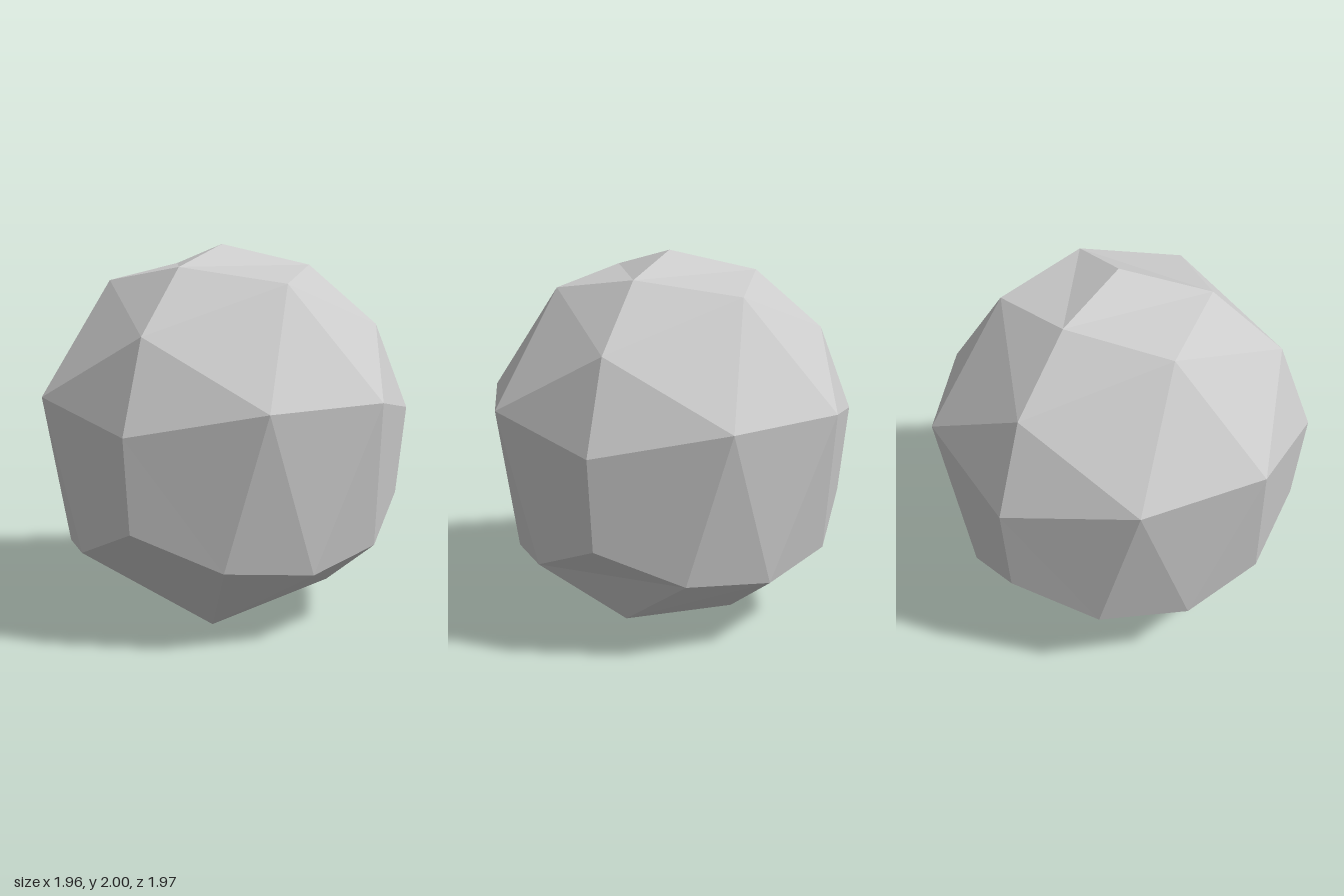
import * as THREE from 'three';

// Faceted ball laid out on tetrahedral symmetry, with its main axis vertical.
// Corner 0 is the top; corners 1, 2, 3 lie around the axis, 120 degrees apart.
const CENTRE = new THREE.Vector3(-0.04, 0.98, 0);

function polar(radius, y, degrees) {
  const a = THREE.MathUtils.degToRad(degrees);
  return new THREE.Vector3(CENTRE.x + radius * Math.cos(a), y, radius * Math.sin(a));
}

const angleOf = (i) => (i - 1) * 120;
const turn = (i, j) => ((j - i + 3) % 3 === 1 ? 1 : -1); // way round from corner i to j

// Main corners
const corner = (i) => (i === 0 ? polar(0, 2, 0) : polar(0.97, 0.63, angleOf(i)));

// Point beside corner i on the way to corner j
function near(i, j) {
  if (i === 0) return polar(0.47, 1.89, angleOf(j));
  if (j === 0) return polar(1.02, 1.11, angleOf(i));
  return polar(0.88, 0.44, angleOf(i) + turn(i, j) * 27.7);
}

// Point halfway between corners i and j
function middle(i, j) {
  if (i === 0) return polar(0.84, 1.57, angleOf(j));
  return polar(0.84, 0.38, angleOf(i) + turn(i, j) * 60);
}

// Point beside corner i, on the side facing away from corner j
function away(i, j) {
  if (i === 0) return polar(0.6, 1.81, angleOf(j) + 180);
  if (j !== 0) return polar(1.0, 1.23, angleOf(i) - turn(i, j) * 40);
  // the underside is slightly uneven
  return i === 1 ? new THREE.Vector3(0.55, 0.13, 0)
    : new THREE.Vector3(-0.11, 0, i === 2 ? 0.35 : -0.35);
}

export function createModel() {
  const points = [];

  // Adds a triangle, turned to face outwards
  function triangle(a, b, c) {
    const normal = b.clone().sub(a).cross(c.clone().sub(a));
    const outward = a.clone().add(b).add(c).divideScalar(3).sub(CENTRE);
    points.push(...(normal.dot(outward) > 0 ? [a, b, c] : [a, c, b]));
  }

  const all = [0, 1, 2, 3];
  for (const i of all) {
    const others = all.filter((n) => n !== i);

    // Three creased kites around each corner
    for (const k of others) {
      const [j, l] = others.filter((n) => n !== k);
      triangle(corner(i), near(i, j), near(i, l));
      triangle(away(i, k), near(i, j), near(i, l));
    }

    // Triangle opposite each corner
    triangle(...others.map((n) => away(n, i)));

    // Six-sided fan around each midpoint
    for (const j of others.filter((n) => n > i)) {
      const [k, l] = others.filter((n) => n !== j);
      const rim = [near(i, j), away(i, k), away(j, k), near(j, i), away(j, l), away(i, l)];
      rim.forEach((p, n) => triangle(middle(i, j), p, rim[(n + 1) % 6]));
    }
  }

  const geometry = new THREE.BufferGeometry().setFromPoints(points);
  geometry.computeVertexNormals();
  const ball = new THREE.Mesh(
    geometry,
    new THREE.MeshStandardMaterial({ color: 0xcccccc, flatShading: true })
  );
  ball.name = 'facetedBall';

  const group = new THREE.Group();
  group.name = 'facetedBallModel';
  group.add(ball);
  return group;
}
